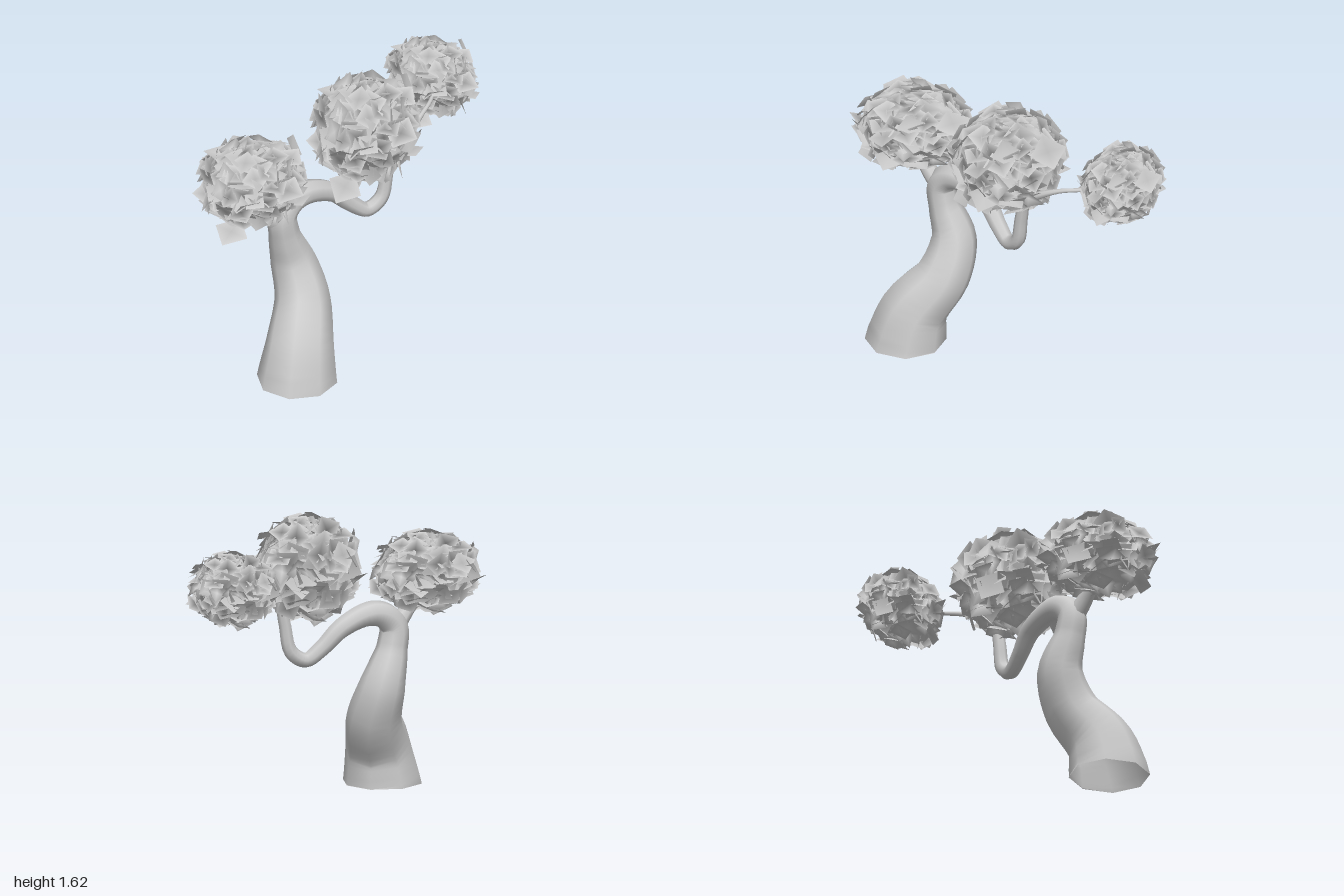
import * as THREE from 'three';

const V = (x, y, z) => new THREE.Vector3(x, y, z);

function seeded(seed) {
  let s = seed;
  return () => (s = (s * 16807) % 2147483647) / 2147483647;
}

// Tapered limb swept along points [x, y, z, radius]; startUp keeps the first ring level
function limb(name, points, steps, sides, material, startUp = false) {
  const curve = new THREE.CatmullRomCurve3(points.map(p => V(p[0], p[1], p[2])));
  const n = points.length - 1;
  const pos = [], index = [];
  const previous = startUp ? V(0, 1, 0) : curve.getTangent(0);
  const side = V(Math.cos(0.39), 0, Math.sin(0.39));
  side.addScaledVector(previous, -side.dot(previous)).normalize();
  for (let i = 0; i <= steps; i++) {
    const t = i / steps;
    const tangent = i === 0 ? previous.clone() : curve.getTangent(t);
    side.applyQuaternion(new THREE.Quaternion().setFromUnitVectors(previous, tangent));
    previous.copy(tangent);
    const across = tangent.clone().cross(side);
    const k = Math.min(Math.floor(t * n), n - 1);
    const r = THREE.MathUtils.lerp(points[k][3], points[k + 1][3], t * n - k);
    const c = curve.getPoint(t);
    for (let j = 0; j < sides; j++) {
      const a = (j / sides) * Math.PI * 2;
      const p = c.clone().addScaledVector(side, r * Math.cos(a)).addScaledVector(across, r * Math.sin(a));
      pos.push(p.x, p.y, p.z);
      if (i < steps) {
        const a0 = i * sides + j, b0 = i * sides + (j + 1) % sides;
        index.push(a0, b0, b0 + sides, a0, b0 + sides, a0 + sides);
      }
    }
  }
  const geometry = new THREE.BufferGeometry();
  geometry.setAttribute('position', new THREE.Float32BufferAttribute(pos, 3));
  geometry.setIndex(index);
  geometry.computeVertexNormals();
  const mesh = new THREE.Mesh(geometry, material);
  mesh.name = name;
  return mesh;
}

// Ball of square, slightly cupped leaves around a unit sphere
function foliageGeometry() {
  const rand = seeded(4217);
  const pos = [], nor = [], index = [];
  const addLeaf = (centre, facing, half, spin) => {
    const q = new THREE.Quaternion().setFromUnitVectors(V(0, 0, 1), facing);
    q.multiply(new THREE.Quaternion().setFromAxisAngle(V(0, 0, 1), spin));
    const base = pos.length / 3;
    const put = (x, y, z, normal) => {
      pos.push(...V(x, y, z).applyQuaternion(q).add(centre).toArray());
      nor.push(...normal.normalize().applyQuaternion(q).toArray());
    };
    put(0, 0, -half * 0.15, V(0, 1, 0.3));
    for (const [x, y] of [[-1, -1], [1, -1], [1, 1], [-1, 1]])
      put(x * half, y * half, 0, V(-x * 0.15, -y * 0.15, 1));
    for (let i = 0; i < 4; i++) index.push(base, base + 1 + i, base + 1 + (i + 1) % 4);
  };
  const count = 230;
  for (let i = 0; i < count; i++) {
    const y = 1 - (2 * i + 1) / count;
    const a = i * 2.39996, ring = Math.sqrt(1 - y * y);
    const out = V(ring * Math.cos(a), y, ring * Math.sin(a));
    const facing = out.clone().add(V(rand() - 0.5, rand() - 0.5, rand() - 0.5).multiplyScalar(1.3)).normalize();
    addLeaf(out.multiplyScalar(0.8 + 0.2 * rand()), facing, 0.17 + 0.06 * rand(), rand() * 6.28);
  }
  // Leaves that stand out from the ball
  addLeaf(V(0.12, -0.88, 0.82), V(0.6, 0.5, 0.62).normalize(), 0.25, 0.4);
  addLeaf(V(0.35, 0.55, -0.9), V(0.75, 0.4, -0.5).normalize(), 0.25, 0.2);
  addLeaf(V(0.98, 0.3, 0.2), V(0.3, 0.85, 0.45).normalize(), 0.25, 0.7);
  const geometry = new THREE.BufferGeometry();
  geometry.setAttribute('position', new THREE.Float32BufferAttribute(pos, 3));
  geometry.setAttribute('normal', new THREE.Float32BufferAttribute(nor, 3));
  geometry.setIndex(index);
  return geometry;
}

export function createModel() {
  const tree = new THREE.Group();
  tree.name = 'bonsaiTree';
  const material = new THREE.MeshStandardMaterial({ color: 0xcccccc, side: THREE.DoubleSide });

  // Trunk that leans, arches backwards, dips and rises into a thin tip
  tree.add(limb('trunk', [
    [0.10, 0, 0.54, 0.225], [0.085, 0.2, 0.49, 0.19], [0.01, 0.4, 0.355, 0.155],
    [-0.07, 0.6, 0.325, 0.128], [-0.085, 0.8, 0.39, 0.087], [-0.085, 0.92, 0.405, 0.08],
    [-0.065, 0.99, 0.345, 0.074], [-0.03, 1.01, 0.25, 0.068], [0.03, 0.95, 0.09, 0.057],
    [0.09, 0.845, -0.01, 0.048], [0.14, 0.785, -0.09, 0.042], [0.185, 0.84, -0.165, 0.04],
    [0.205, 1.0, -0.195, 0.036], [0.22, 1.12, -0.225, 0.032], [0.26, 1.2, -0.32, 0.022],
    [0.265, 1.26, -0.45, 0.013], [0.24, 1.285, -0.58, 0.011], [0.13, 1.3, -0.76, 0.008],
  ], 85, 8, material, true));

  // Side branches carrying the front and middle foliage
  tree.add(limb('frontBranch', [
    [-0.085, 0.9, 0.41, 0.055], [-0.1, 0.99, 0.49, 0.045], [-0.13, 1.07, 0.56, 0.03], [-0.16, 1.2, 0.6, 0.015],
  ], 12, 8, material));
  tree.add(limb('middleBranch', [
    [0.215, 1.07, -0.21, 0.025], [0.19, 1.13, -0.16, 0.02], [0.15, 1.2, -0.11, 0.015], [0.13, 1.32, -0.09, 0.01],
  ], 12, 8, material));

  // Foliage balls: position and radii
  const foliage = foliageGeometry();
  for (const [name, p, s] of [
    ['frontFoliage', [-0.16, 1.21, 0.6], [0.28, 0.215, 0.305]],
    ['middleFoliage', [0.13, 1.31, -0.09], [0.28, 0.285, 0.305]],
    ['backFoliage', [0.12, 1.3, -0.76], [0.25, 0.2, 0.21]],
  ]) {
    const mesh = new THREE.Mesh(foliage, material);
    mesh.name = name;
    mesh.position.set(...p);
    mesh.scale.set(...s);
    tree.add(mesh);
  }
  return tree;
}
